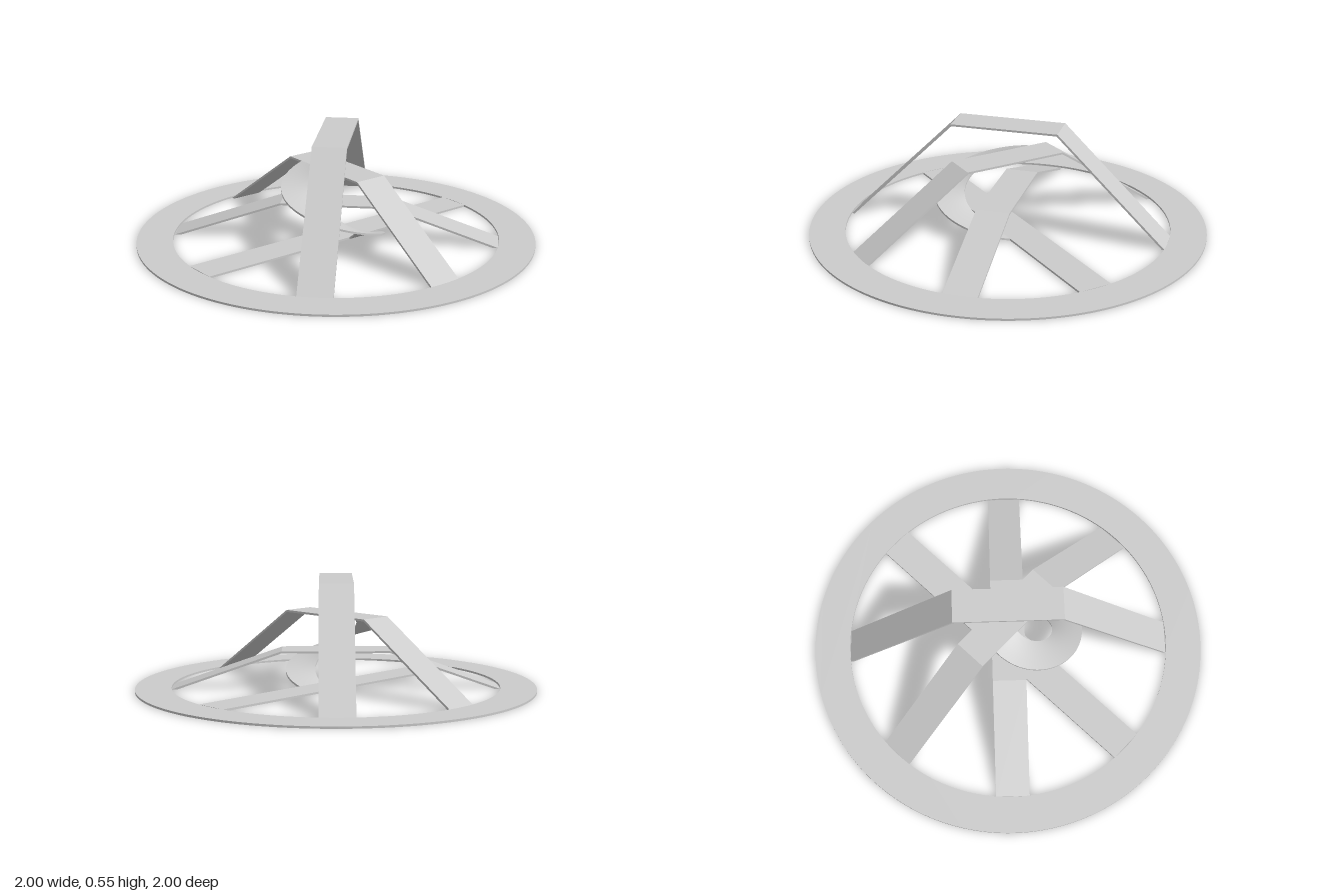
import * as THREE from 'three';

const T = 0.01;          // sheet thickness
const WIDTH = 0.168;     // strap width
const INNER = 0.82;      // ring inner radius
const REACH = 0.816;     // strap end distance from the centre
const PLATEAU = 0.27;    // half length of a raised strap's flat top

const material = new THREE.MeshStandardMaterial({ color: 0xcccccc });

function addMesh(group, name, geometry) {
  const mesh = new THREE.Mesh(geometry, material);
  mesh.name = name;
  group.add(mesh);
  return mesh;
}

// Flat annulus lying on the ground
function ringGeometry() {
  const shape = new THREE.Shape().absarc(0, 0, 1, 0, Math.PI * 2, false);
  shape.holes.push(new THREE.Path().absarc(0, 0, INNER, 0, Math.PI * 2, true));
  const geometry = new THREE.ExtrudeGeometry(shape, { depth: T, bevelEnabled: false, curveSegments: 96 });
  return geometry.rotateX(-Math.PI / 2);
}

// Bent strap along x: slopes up, runs flat at the given height, slopes down
function strapGeometry(height) {
  const slope = Math.atan2(height, REACH - PLATEAU);
  const foot = REACH - T / Math.sin(slope);
  const knee = PLATEAU - T * Math.tan(slope / 2);
  const points = [
    [REACH, 0], [PLATEAU, height], [-PLATEAU, height], [-REACH, 0],
    [-foot, 0], [-knee, height - T], [knee, height - T], [foot, 0],
  ].map(([x, y]) => new THREE.Vector2(x, y));
  const geometry = new THREE.ExtrudeGeometry(new THREE.Shape(points), { depth: WIDTH, bevelEnabled: false });
  return geometry.translate(0, 0, -WIDTH / 2);
}

// Three-quarter-turn ramp: a long box whose length is wound into a helix
function rampGeometry(inner, outer, low, high) {
  const geometry = new THREE.BoxGeometry(1, T, 1, 4, 1, 72);
  const pos = geometry.attributes.position;
  for (let i = 0; i < pos.count; i++) {
    const t = 0.5 - pos.getZ(i);
    const angle = t * Math.PI * 1.5;
    const r = THREE.MathUtils.lerp(inner, outer, pos.getX(i) + 0.5);
    const y = THREE.MathUtils.lerp(high, low, t) + pos.getY(i);
    pos.setXYZ(i, -r * Math.sin(angle), y, -r * Math.cos(angle));
  }
  geometry.computeVertexNormals();
  return geometry;
}

export function createModel() {
  const group = new THREE.Group();
  group.name = 'ringWithStraps';

  addMesh(group, 'baseRing', ringGeometry());

  // Flat strap across the ring
  addMesh(group, 'flatStrap', new THREE.BoxGeometry(REACH * 2, T, WIDTH)).position.y = T / 2;

  // Raised straps, each crossing over the one below
  const straps = [
    ['lowStrap', 0.19, -Math.PI / 4],
    ['middleStrap', 0.37, Math.PI / 2],
    ['highStrap', 0.545, Math.PI / 4],
  ];
  for (const [name, height, turn] of straps) {
    addMesh(group, name, strapGeometry(height)).rotation.y = turn;
  }

  // Spiral ramp from the edge of the middle strap down to the flat strap
  const ramp = addMesh(group, 'spiralRamp', rampGeometry(0.105, 0.256, T / 2, 0.37 - T / 2));
  ramp.position.set(-WIDTH / 2, 0, WIDTH / 2);

  return group;
}
